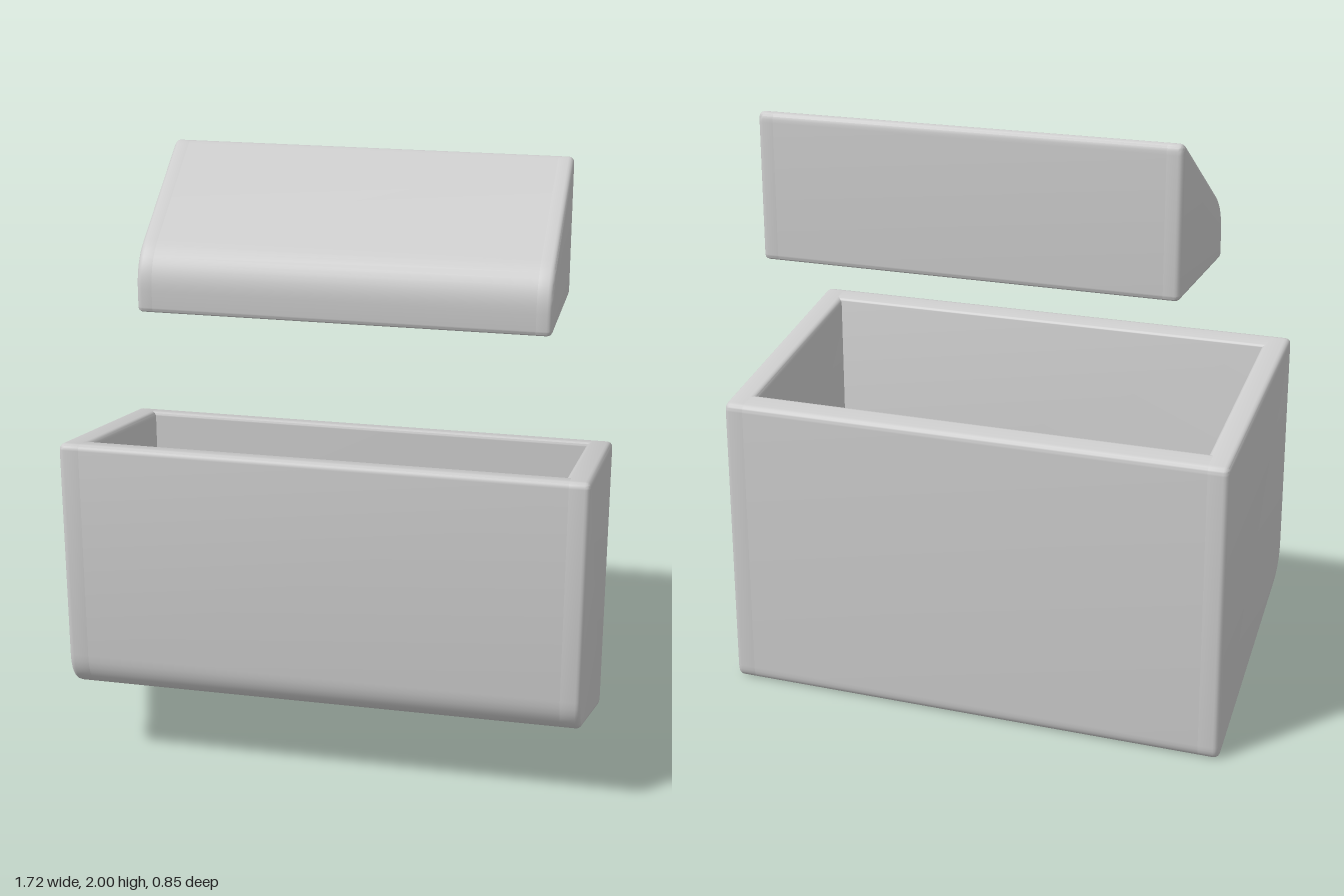
import * as THREE from 'three';
import { toCreasedNormals } from 'three/addons/utils/BufferGeometryUtils.js';

const material = new THREE.MeshStandardMaterial({ color: 0xcccccc });
const BEVEL = 0.018;

// Side outline from [z, y, cornerRadius] points, with rounded corners
function outline(points) {
  const shape = new THREE.Shape();
  const n = points.length;
  points.forEach(([z, y, r], i) => {
    const corner = new THREE.Vector2(-z, y);
    const toward = ([pz, py]) =>
      new THREE.Vector2(-pz, py).sub(corner).setLength(r).add(corner);
    const a = toward(points[(i + n - 1) % n]);
    const b = toward(points[(i + 1) % n]);
    if (i === 0) shape.moveTo(a.x, a.y);
    else shape.lineTo(a.x, a.y);
    shape.quadraticCurveTo(corner.x, corner.y, b.x, b.y);
  });
  shape.closePath();
  return shape;
}

// Extrudes a side outline along x, from x0 to x1
function slab(name, points, x0, x1, bevel) {
  const geometry = new THREE.ExtrudeGeometry(outline(points), {
    depth: x1 - x0 - 2 * bevel,
    curveSegments: 8,
    bevelEnabled: bevel > 0,
    bevelThickness: bevel,
    bevelSize: bevel,
    bevelOffset: -bevel,
    bevelSegments: 4,
  });
  geometry.translate(0, 0, x0 + bevel);
  geometry.rotateY(Math.PI / 2);
  const mesh = new THREE.Mesh(toCreasedNormals(geometry, 0.5), material);
  mesh.name = name;
  return mesh;
}

// Hollow shell: a channel-shaped middle closed by two rounded end walls
function shell(name, outer, inner, halfWidth, wall) {
  const group = new THREE.Group();
  group.name = name;
  const inside = halfWidth - wall;
  const half = inside + BEVEL;
  group.add(
    slab(name + 'Channel', [...outer, ...inner], -half, half, 0),
    slab(name + 'LeftWall', outer, inside, halfWidth, BEVEL),
    slab(name + 'RightWall', outer, -halfWidth, -inside, BEVEL),
  );
  return group;
}

export function createModel() {
  const model = new THREE.Group();
  model.name = 'binWithLid';

  // Open bin with a sloping rim and a sloping floor
  model.add(shell('bin',
    [[-0.427, 1.01, 0.025], [-0.427, -0.016, 0.06], [0.427, 0.32, 0.1], [0.427, 1.173, 0.03]],
    [[0.343, 1.157, 0.015], [0.343, 0.38, 0.03], [-0.347, 0.105, 0.03], [-0.347, 1.025, 0.015]],
    0.858, 0.085));

  // Wedge-shaped lid floating above, open underneath
  model.add(shell('lid',
    [[0.085, 1.525, 0.018], [0.085, 1.7, 0.1], [-0.427, 2.02, 0.05], [-0.427, 1.525, 0.018]],
    [[-0.357, 1.525, 0.012], [-0.357, 1.893, 0.02], [0.015, 1.661, 0.06], [0.015, 1.525, 0.012]],
    0.686, 0.07));

  return model;
}
